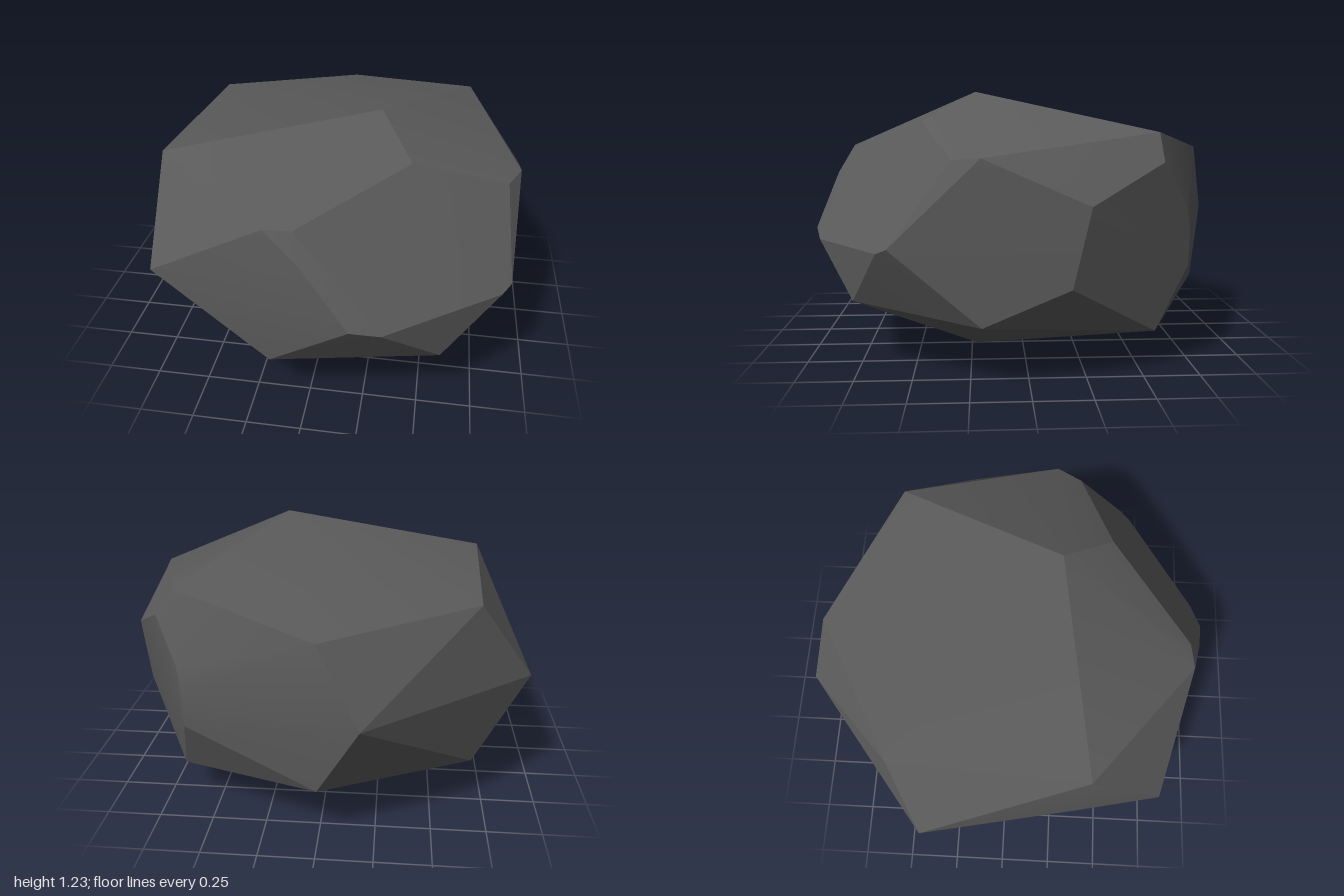
import * as THREE from 'three';
import { ConvexGeometry } from 'three/addons/geometries/ConvexGeometry.js';
import { toCreasedNormals } from 'three/addons/utils/BufferGeometryUtils.js';

const HEIGHT = 1.23;

export function createModel() {
  const stone = new THREE.MeshStandardMaterial({ color: 0x5a5a5a });
  stone.name = 'dark grey stone';

  // Corners of the upper half, mirrored to the lower half
  const mirrored = [
    [0.255, 1.23, 0.225],
    [-0.74, 1.03, 0.39],
    [-0.685, 1.0, -0.525],
    [0, 0.955, -0.905],
    [0.665, 1.053, -0.565],
    [0.9, 0.96, 0.2],
    [-0.16, 0.96, 0.87],
  ];
  // Corners round the waist
  const waist = [
    [-0.945, 0.62, -0.395], [-0.715, 0.62, 0.755], [-0.185, 0.62, -1],
    [0.94, 0.77, -0.24], [0.935, 0.435, -0.165],
  ];
  // Chipped facet at the front left
  const frontChip = [
    [0.41, 1.095, 0.47], [0.84, 0.95, 0.32], [0.865, 0.74, 0.465],
    [0.88, 0.595, 0.58], [0.84, 0.57, 0.63], [0.34, 0.545, 0.96],
    [0.21, 0.58, 1], [0, 0.83, 0.927], [-0.04, 0.955, 0.855],
    [0.59, 0.31, 0.77],
  ];
  // Chipped edge at the back left
  const backChip = [
    [0.745, 0.93, -0.57], [0.63, 0.74, -0.7],
    [0.61, 0.62, -0.725], [0.61, 0.46, -0.72],
  ];

  const points = [...mirrored, ...waist, ...frontChip, ...backChip].map((p) => new THREE.Vector3(...p));
  for (const [x, y, z] of mirrored) points.push(new THREE.Vector3(x, HEIGHT - y, z));

  // Faceted boulder, with nearly flat facets merged
  const boulder = new THREE.Mesh(toCreasedNormals(new ConvexGeometry(points), 0.29), stone);
  boulder.name = 'boulder';

  const group = new THREE.Group();
  group.name = 'rock';
  group.add(boulder);
  return group;
}
